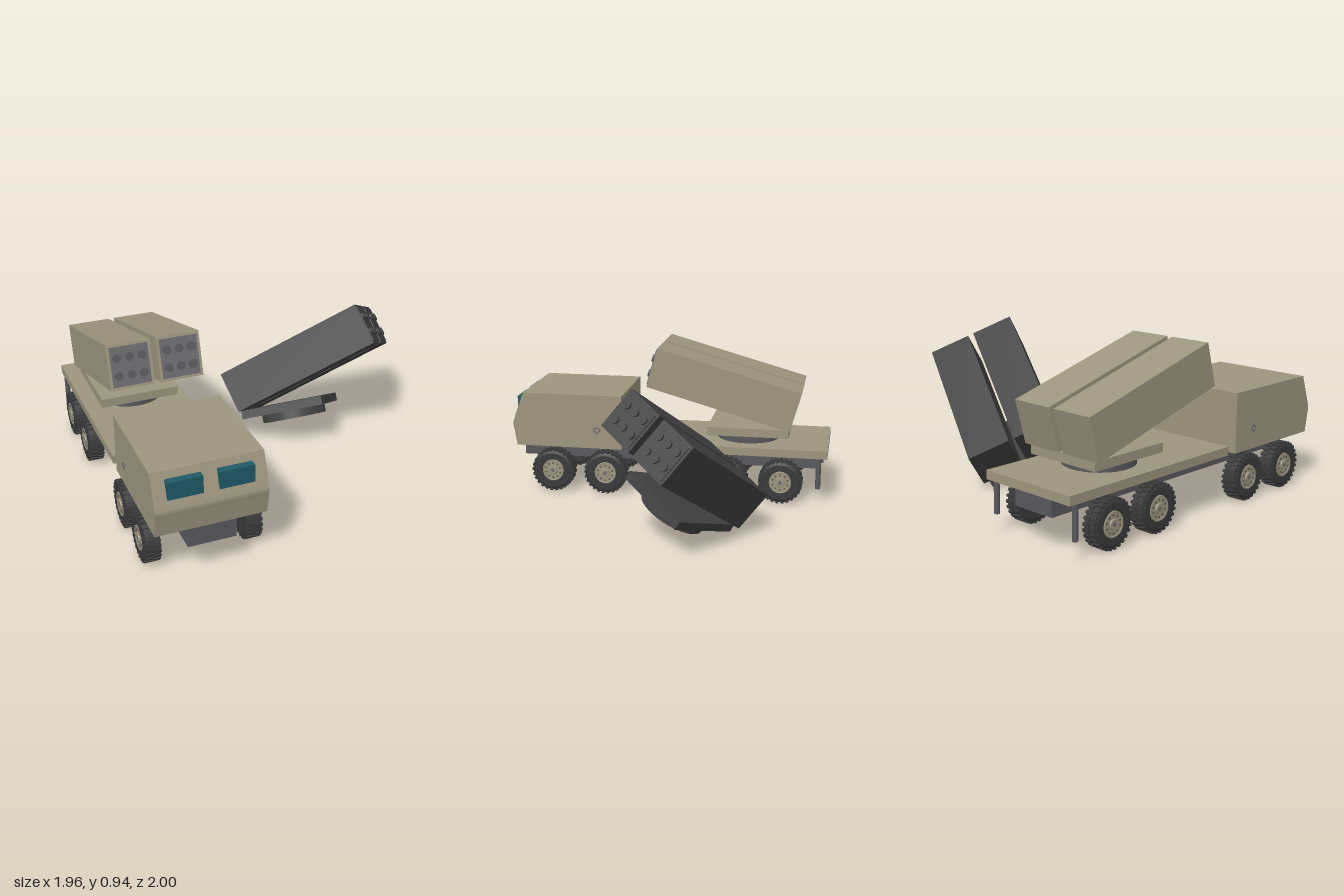
import * as THREE from 'three';

const mat = (name, color, extra = {}) => new THREE.MeshStandardMaterial({ name, color, ...extra });

export function createModel() {
  const sand = mat('sand paint', 0x9c957e);
  const frameGrey = mat('frame grey', 0x59585d);
  const rubber = mat('tyre rubber', 0x3a3a3c);
  const charcoal = mat('charcoal', 0x414142);
  const panelGrey = mat('panel grey', 0x6b6a6e);
  const glass = mat('window glass', 0x1f5a66);

  const root = new THREE.Group();
  root.name = 'launcherTruckSet';

  const add = (parent, name, geo, material, x = 0, y = 0, z = 0) => {
    const m = new THREE.Mesh(geo, material);
    m.name = name;
    m.position.set(x, y, z);
    parent.add(m);
    return m;
  };
  const box = (w, h, d) => new THREE.BoxGeometry(w, h, d);

  // Truck, built around its own centre line
  const truck = new THREE.Group();
  truck.name = 'truck';
  truck.position.x = -0.65;
  root.add(truck);

  // Cab: side profile (z, y) pulled across the width
  const profile = [[0.29, 0.29], [0.975, 0.29], [0.994, 0.4], [0.999, 0.425],
    [0.999, 0.44], [0.993, 0.46], [0.93, 0.635], [0.29, 0.635]];
  const cabGeo = new THREE.ExtrudeGeometry(
    new THREE.Shape(profile.map(([z, y]) => new THREE.Vector2(z, y))),
    { depth: 0.61, bevelEnabled: false });
  cabGeo.rotateY(-Math.PI / 2).translate(0.305, 0, 0);
  add(truck, 'cab', cabGeo, sand);

  for (const s of [-1, 1]) {
    add(truck, 'windscreen', box(0.19, 0.1, 0.05), glass, s * 0.138, 0.545, 0.962);
    // Diamond door handle
    const handle = add(truck, 'doorHandle', new THREE.TorusGeometry(0.021, 0.005, 6, 4), panelGrey, s * 0.305, 0.41, 0.45);
    handle.rotation.y = Math.PI / 2;
    // Rear support legs
    add(truck, 'supportLeg', new THREE.CylinderGeometry(0.016, 0.016, 0.195, 12), frameGrey, s * 0.287, 0.198, -0.947);
  }

  // Chassis and flat bed
  add(truck, 'chassis', box(0.265, 0.11, 1.93), frameGrey, 0, 0.237, 0.01);
  add(truck, 'deck', box(0.61, 0.05, 1.225), sand, 0, 0.319, -0.3875);

  // Wheel with its outer face toward local +y
  const tyreGeo = new THREE.LatheGeometry(
    [[0, -0.044], [0.112, -0.044], [0.13, -0.036], [0.13, 0.036], [0.112, 0.044],
      [0.074, 0.044], [0.07, 0.034], [0, 0.034]].map(([r, y]) => new THREE.Vector2(r, y)), 32);
  const tyreFlat = tyreGeo.toNonIndexed();
  tyreFlat.computeVertexNormals();
  const lugGeo = box(0.012, 0.04, 0.017);
  const hubGeo = new THREE.CylinderGeometry(0.069, 0.069, 0.008, 28);
  const ringGeo = new THREE.TorusGeometry(0.066, 0.004, 6, 28).rotateX(Math.PI / 2);
  const boltGeo = new THREE.CylinderGeometry(0.006, 0.006, 0.006, 8);
  const makeWheel = () => {
    const wheel = new THREE.Group();
    wheel.name = 'wheel';
    add(wheel, 'tyre', tyreFlat, rubber);
    const lugs = 26;
    for (let i = 0; i < lugs; i++) {
      for (const s of [-1, 1]) {
        const a = ((i + (s > 0 ? 0.5 : 0)) / lugs) * Math.PI * 2;
        const lug = add(wheel, 'treadLug', lugGeo, rubber, Math.cos(a) * 0.131, s * 0.021, Math.sin(a) * 0.131);
        lug.rotation.y = -a;
      }
    }
    add(wheel, 'hub', hubGeo, sand, 0, 0.036, 0);
    add(wheel, 'rimRing', ringGeo, sand, 0, 0.041, 0);
    add(wheel, 'hubDish', new THREE.CylinderGeometry(0.026, 0.03, 0.01, 20), sand, 0, 0.043, 0);
    add(wheel, 'hubCap', new THREE.CylinderGeometry(0.012, 0.012, 0.01, 12), panelGrey, 0, 0.044, 0);
    for (let i = 0; i < 10; i++) {
      const a = (i / 10) * Math.PI * 2;
      add(wheel, 'wheelBolt', boltGeo, frameGrey, Math.cos(a) * 0.048, 0.041, Math.sin(a) * 0.048);
    }
    return wheel;
  };
  for (const z of [0.737, 0.394, -0.373, -0.716]) {
    for (const s of [-1, 1]) {
      const wheel = makeWheel();
      wheel.position.set(s * 0.282, 0.137, z);
      wheel.rotation.z = -s * Math.PI / 2;
      truck.add(wheel);
    }
  }

  // Launcher: turntable, plate and two pitched pods; origin under the plate centre
  const makeLauncher = (name, body, ring, panel, tube) => {
    const g = new THREE.Group();
    g.name = name;
    add(g, 'turntable', new THREE.CylinderGeometry(0.2, 0.2, 0.052, 40), ring, 0, 0.025, 0.015);
    add(g, 'basePlate', box(0.466, 0.052, 0.51), body, 0, 0.076, 0);
    const pods = new THREE.Group();
    pods.name = 'pods';
    pods.position.set(0, 0.349, 0.153);
    pods.rotation.x = -THREE.MathUtils.degToRad(15.5);
    g.add(pods);
    const tubeGeo = new THREE.CylinderGeometry(0.024, 0.024, 0.02, 18).rotateX(Math.PI / 2);
    for (const s of [-1, 1]) {
      const px = s * 0.1425;
      add(pods, 'pod', box(0.25, 0.255, 0.932), body, px, 0, 0);
      add(pods, 'frontPanel', box(0.218, 0.223, 0.008), panel, px, 0, 0.468);
      for (const cx of [-1, 0, 1]) {
        for (const cy of [-1, 1]) {
          add(pods, 'launchTube', tubeGeo, tube, px + cx * 0.071, cy * 0.05, 0.474);
        }
      }
    }
    return g;
  };

  const mounted = makeLauncher('mountedLauncher', sand, frameGrey, panelGrey, frameGrey);
  mounted.position.set(0, 0.345, -0.5);
  truck.add(mounted);

  // Spare launcher lying tilted beside the truck
  const loose = makeLauncher('looseLauncher', charcoal, charcoal, charcoal, charcoal);
  loose.position.set(0.305, 0.126, -0.155);
  loose.rotation.set(-Math.PI / 6, THREE.MathUtils.degToRad(55), 0);
  root.add(loose);

  return root;
}
